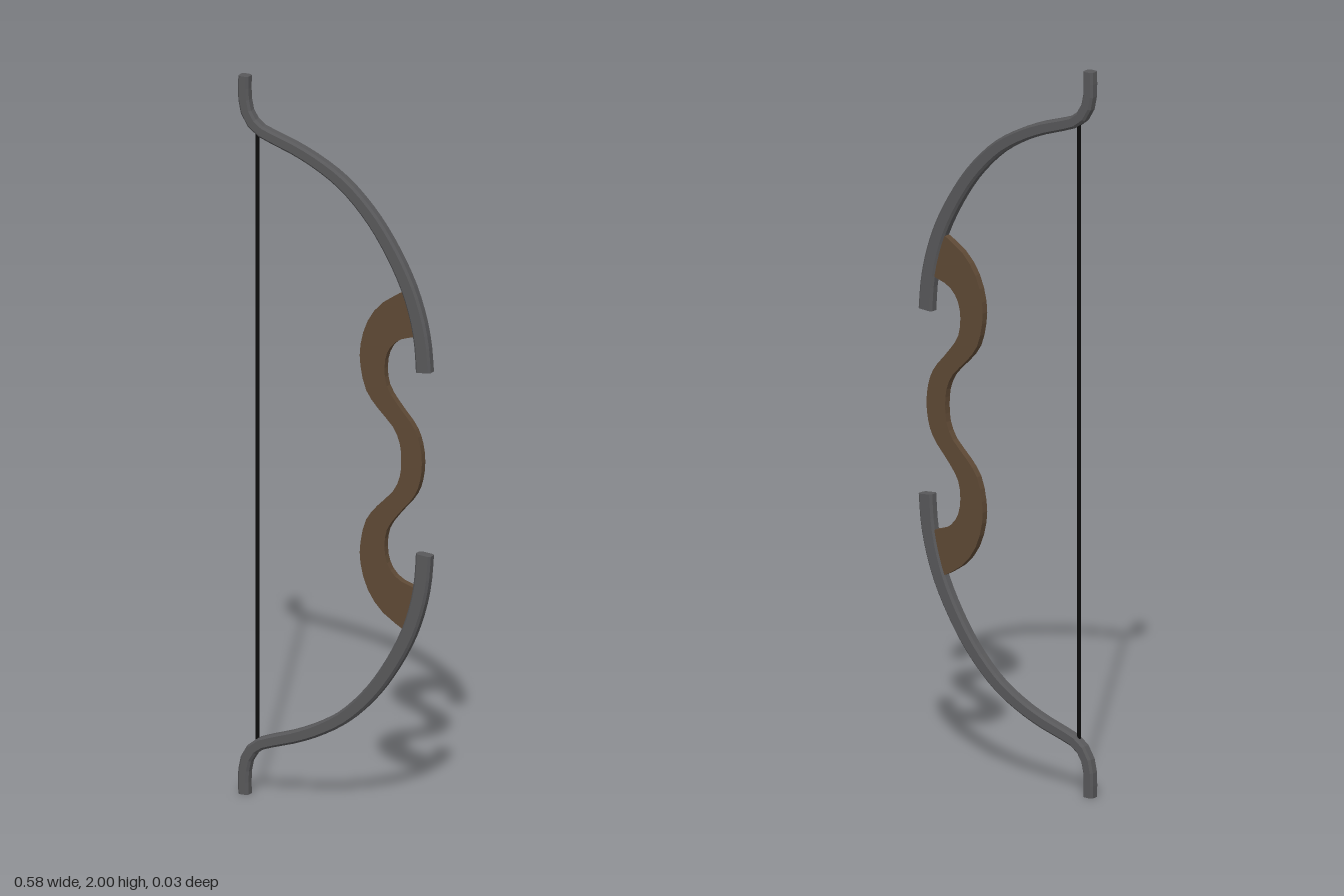
import * as THREE from 'three';

const MID = 1; // height of the mirror line

const paint = (color) => new THREE.MeshStandardMaterial({ color, flatShading: true });

// Sweep a chamfered bar along a flat curve, its width growing from w0 to w1
function sweepBar(points, w0, w1, depth, chamfer, steps) {
  const curve = new THREE.CatmullRomCurve3(points.map(([x, y]) => new THREE.Vector3(x, y, 0)));
  const pos = [], index = [], d = depth / 2;
  for (let i = 0; i <= steps; i++) {
    const p = curve.getPointAt(i / steps), t = curve.getTangentAt(i / steps);
    const w = (w0 + (w1 - w0) * i / steps) / 2, c = chamfer;
    const ring = [[w, -d + c], [w, d - c], [w - c, d], [-w + c, d],
      [-w, d - c], [-w, -d + c], [-w + c, -d], [w - c, -d]];
    for (const [n, z] of ring) pos.push(p.x - t.y * n, p.y + t.x * n, z);
  }
  for (let i = 0; i < steps; i++) {
    for (let j = 0; j < 8; j++) {
      const a = i * 8 + j, b = i * 8 + (j + 1) % 8;
      index.push(a, b, b + 8, a, b + 8, a + 8);
    }
  }
  // end caps
  const e = steps * 8;
  for (let j = 1; j < 7; j++) index.push(0, j + 1, j, e, e + j, e + j + 1);
  const geo = new THREE.BufferGeometry();
  geo.setAttribute('position', new THREE.Float32BufferAttribute(pos, 3));
  geo.setIndex(index);
  const flat = geo.toNonIndexed();
  flat.computeVertexNormals();
  return flat;
}

export function createModel() {
  const group = new THREE.Group();
  const add = (name, geo, mat) => {
    const mesh = new THREE.Mesh(geo, mat);
    mesh.name = name;
    group.add(mesh);
    return mesh;
  };

  // Recurved limbs, from tip to grip, heights measured from the mirror line
  const limb = [[-0.273, 1], [-0.273, 0.935], [-0.262, 0.892], [-0.235, 0.86], [-0.19, 0.841],
    [-0.125, 0.82], [-0.055, 0.79], [0.025, 0.742], [0.105, 0.665], [0.165, 0.582],
    [0.217, 0.485], [0.246, 0.4], [0.26, 0.33], [0.266, 0.254]];
  const metal = paint(0x58585a);
  for (const [name, s] of [['upperLimb', 1], ['lowerLimb', -1]]) {
    const pts = limb.map(([x, y]) => [x, MID + s * y]);
    add(name, sweepBar(pts, 0.031, 0.045, 0.03, 0.006, 30), metal);
  }

  // Wavy grip: outline of the upper half, mirrored for the lower half
  const inner = [[0.215, 0.475], [0.145, 0.432], [0.1, 0.375], [0.078, 0.305], [0.078, 0.245],
    [0.095, 0.18], [0.13, 0.135], [0.175, 0.09], [0.196, 0.045], [0.2, 0]];
  const outer = [[0.262, 0], [0.255, 0.055], [0.235, 0.1], [0.19, 0.152], [0.157, 0.2],
    [0.15, 0.255], [0.162, 0.302], [0.195, 0.335], [0.25, 0.352]];
  const smooth = (half, mirrorFirst) => {
    const flip = half.map(([x, y]) => [x, -y]).reverse();
    const all = mirrorFirst ? [...flip, ...half.slice(1)] : [...half, ...flip.slice(1)];
    return new THREE.SplineCurve(all.map(([x, y]) => new THREE.Vector2(x, MID + y))).getPoints(36);
  };
  const outline = new THREE.Shape([...smooth(inner, false), ...smooth(outer, true)]);
  const gripGeo = new THREE.ExtrudeGeometry(outline, { depth: 0.02, bevelEnabled: false });
  gripGeo.translate(0, 0, -0.01);
  add('grip', gripGeo, paint(0x5e4935));

  // String between the limb bends
  const string = add('bowString', new THREE.CylinderGeometry(0.005, 0.005, 1.71, 8), paint(0x0c0c0c));
  string.position.set(-0.236, MID, 0);

  return group;
}
